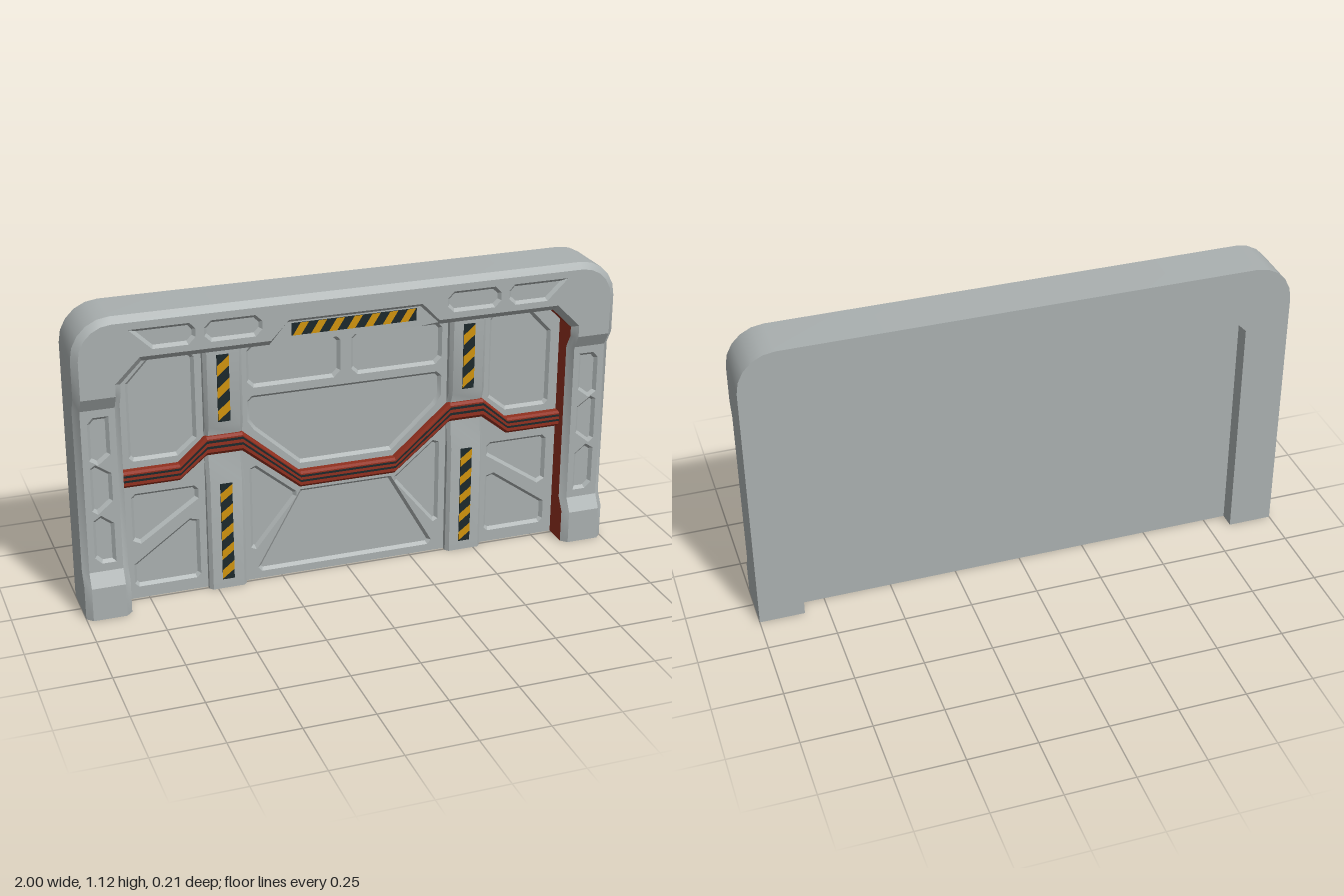
import * as THREE from 'three';
import { toCreasedNormals } from 'three/addons/utils/BufferGeometryUtils.js';

const mat = (name, color) => Object.assign(new THREE.MeshStandardMaterial({ color, side: THREE.DoubleSide }), { name });

// Geometry from a flat list of triangle corners
function fromTris(tris) {
  const g = new THREE.BufferGeometry();
  g.setAttribute('position', new THREE.Float32BufferAttribute(tris, 3));
  return toCreasedNormals(g, 0.45);
}
const quad = (out, a, b, c, d) => out.push(...a, ...b, ...c, ...a, ...c, ...d);

// Skin between equal cross-sections; pick(section, strip) chooses the output list
function loft(sections, pick) {
  for (let i = 0; i < sections.length - 1; i++) {
    const s = sections[i], t = sections[i + 1];
    for (let j = 0; j < s.length - 1; j++) {
      const out = pick(i, j);
      if (out) quad(out, s[j], t[j], t[j + 1], s[j + 1]);
    }
  }
}

const mirror = (pts) => pts.map(([x, y]) => [-x, y]).reverse();
const both = (list) => [...list, ...list.map(mirror)];
const vecs = (pts) => pts.map(([x, y]) => new THREE.Vector2(x, y));

// Rectangle with cut corners
function cutRect(x0, y0, x1, y1, c) {
  return [[x0 + c, y0], [x1 - c, y0], [x1, y0 + c], [x1, y1 - c],
    [x1 - c, y1], [x0 + c, y1], [x0, y1 - c], [x0, y0 + c]];
}

// Move every edge of a counter-clockwise outline inwards
function inset(v, d) {
  return v.map((p, i) => {
    const a = v[(i + v.length - 1) % v.length], b = v[(i + 1) % v.length];
    const e = p.clone().sub(a).normalize(), f = b.clone().sub(p).normalize();
    const n = new THREE.Vector2(-e.y - f.y, e.x + f.x);
    return p.clone().addScaledVector(n, d / (1 + e.dot(f)));
  });
}

function flat(out, shape, z) {
  const p = new THREE.ShapeGeometry(shape).toNonIndexed().getAttribute('position');
  for (let i = 0; i < p.count; i++) out.push(p.getX(i), p.getY(i), z);
}

// Flat face with sunken, slope-walled panels
function panelFace(out, outline, holes, z, depth = 0.012, slope = 0.011) {
  const shape = new THREE.Shape(vecs(outline));
  for (const hole of holes) {
    const o = vecs(hole);
    if (THREE.ShapeUtils.isClockWise(o)) o.reverse();
    shape.holes.push(new THREE.Path(o));
    const n = inset(o, slope);
    o.forEach((p, i) => {
      const k = (i + 1) % o.length;
      quad(out, [p.x, p.y, z], [o[k].x, o[k].y, z], [n[k].x, n[k].y, z - depth], [n[i].x, n[i].y, z - depth]);
    });
    flat(out, new THREE.Shape(n), z - depth);
  }
  flat(out, shape, z);
}

export function createModel() {
  const grey = mat('light grey metal', 0xaab0b0);
  const red = mat('dark red paint', 0x92301f);
  const black = mat('near black', 0x1c282b);
  const yellow = mat('warning yellow', 0xd0930c);
  const root = new THREE.Group();
  const add = (name, geo, m, parent = root) => {
    const mesh = new THREE.Mesh(geo, m);
    mesh.name = name;
    parent.add(mesh);
    return mesh;
  };

  // Arch frame: one cross-section swept from the right-hand foot over the top
  const BACK = -0.105, HI = 0.104, LO = 0.075, BEV = 0.022;
  const section = (o, oi, ii, i, zf, mid) => [
    [...o, BACK], [...o, zf - BEV], [...oi, zf], [...ii, zf],
    mid || [(ii[0] + i[0]) / 2, (ii[1] + i[1]) / 2, zf - BEV / 2],
    [...i, zf - BEV], [...i, -0.045], [...i, BACK]];
  const half = [[0, HI], [0.125, HI], [0.175, LO], [0.785, LO], [0.835, HI]].map(([y, z]) =>
    section([1, y], [1 - BEV, y], [0.857, y], [0.835, y], z));
  for (let a = 0; a <= 90; a += 18) {
    const c = Math.cos(a * Math.PI / 180), s = Math.sin(a * Math.PI / 180);
    const at = (r) => [0.86 + r * c, 0.975 + r * s];
    half.push(section(at(0.14), at(0.14 - BEV),
      a < 45 ? [0.857, 0.879] : [0.769, 0.967], a < 45 ? [0.835, 0.87] : [0.76, 0.945], HI));
  }
  // Notch in the lintel for the warning sign
  half.push(section([0.31, 1.115], [0.31, 1.093], [0.31, 0.967], [0.31, 0.945], HI));
  half.push(section([0.245, 1.115], [0.245, 1.093], [0.245, 1.035], [0.245, 0.945], HI, [0.245, 1.02, HI - BEV]));
  const arch = [...half, ...half.map((s) => s.map(([x, y, z]) => [-x, y, z])).reverse()];

  const frame = [], liner = [], last = arch.length - 1;
  loft(arch.map((s) => [...s, s[0]]), (i, j) => {
    const k = Math.min(i, last - 1 - i);
    if (j === 2 && (k === 2 || k >= 4)) return null;
    return j === 5 ? liner : frame;
  });
  // Top face and post faces with their sunken panels
  const top = arch.slice(4, last - 3);
  const xy = (p) => [p[0], p[1]];
  const topEdge = [...top.map((s) => xy(s[2])), ...top.map((s) => xy(s[3])).reverse()]
    .filter((p, i, l) => !i || Math.hypot(p[0] - l[i - 1][0], p[1] - l[i - 1][1]) > 1e-6);
  panelFace(frame, topEdge, both([
    [[0.805, 1.067], [0.595, 1.067], [0.575, 1.045], [0.575, 1.015], [0.6, 0.99], [0.725, 0.99]],
    cutRect(0.34, 0.99, 0.545, 1.067, 0.024)]), HI);
  const post = [[0.857, 0.175], [0.978, 0.175], [0.978, 0.785], [0.857, 0.785]];
  const slots = [
    [[0.935, 0.757], [0.88, 0.757], [0.88, 0.615], [0.925, 0.58], [0.955, 0.6], [0.955, 0.735]],
    [[0.955, 0.57], [0.935, 0.583], [0.88, 0.545], [0.88, 0.44], [0.935, 0.395], [0.955, 0.41]],
    [[0.955, 0.37], [0.925, 0.39], [0.88, 0.355], [0.88, 0.205], [0.93, 0.205], [0.955, 0.23]]];
  panelFace(frame, post, slots, LO);
  panelFace(frame, mirror(post), slots.map(mirror), LO);
  // Red soles
  for (let j = 1; j < 7; j++) {
    liner.push(...arch[0][0], ...arch[0][j], ...arch[0][j + 1]);
    liner.push(...arch[last][0], ...arch[last][j + 1], ...arch[last][j]);
  }
  add('archFrame', fromTris(frame), grey);
  add('doorwayLining', fromTris(liner), red);

  // Door leaf with sunken panels
  const door = [[-0.835, 0], [0.835, 0], [0.835, 0.87], [0.76, 0.945], [-0.76, 0.945], [-0.835, 0.87]];
  const core = new THREE.ExtrudeGeometry(new THREE.Shape(vecs(door)), { depth: 0.021, bevelEnabled: false });
  add('doorBack', core.translate(0, 0, -0.045), grey);
  add('doorSill', new THREE.BoxGeometry(1.67, 0.01, 0.034), grey).position.set(0, 0.005, -0.0275);
  const face = [];
  panelFace(face, door, [
    ...both([
      [[0.715, 0.92], [0.575, 0.92], [0.555, 0.9], [0.555, 0.595], [0.625, 0.537], [0.785, 0.537], [0.8, 0.552], [0.8, 0.83]],
      cutRect(0.02, 0.755, 0.368, 0.92, 0.025),
      [[0.785, 0.412], [0.57, 0.412], [0.555, 0.397], [0.555, 0.36], [0.77, 0.215], [0.8, 0.23], [0.8, 0.397]],
      [[0.59, 0.285], [0.555, 0.275], [0.555, 0.06], [0.54 + 0.03, 0.045], [0.785, 0.045], [0.8, 0.06], [0.8, 0.135]],
      [[0.365, 0.445], [0.34, 0.455], [0.19, 0.33], [0.19, 0.31], [0.345, 0.12], [0.365, 0.13]]]),
    [[-0.35, 0.725], [0.35, 0.725], [0.368, 0.707], [0.368, 0.63], [0.345, 0.595], [0.175, 0.44],
      [-0.175, 0.44], [-0.345, 0.595], [-0.368, 0.63], [-0.368, 0.707]],
    [[-0.175, 0.335], [0.175, 0.335], [0.34, 0.045], [0.325, 0.028], [-0.325, 0.028], [-0.34, 0.045]],
  ], -0.01);
  add('doorFront', fromTris(face), grey);

  // Upright ribs, stepping back where the band crosses
  const rib = [];
  const ribRows = [[0, 0.02], [0.42, 0.02], [0.52, 0.004], [0.6, 0.004], [0.64, 0.02], [0.942, 0.02]];
  const ribSections = ribRows.map(([y, z]) =>
    [[0.07, y, -0.02], [0.07, y, z - 0.012], [0.058, y, z], [-0.058, y, z], [-0.07, y, z - 0.012], [-0.07, y, -0.02]]);
  loft(ribSections, () => rib);
  const foot = ribSections[0];
  for (let j = 1; j < 5; j++) rib.push(...foot[0], ...foot[j], ...foot[j + 1]);
  for (const s of [-1, 1]) add('doorRib', fromTris(rib), grey).position.x = s * 0.46;

  // Zigzag band, given as x, lower y, upper y
  const bandHalf = [[0.835, 0.45, 0.512], [0.625, 0.45, 0.512], [0.525, 0.53, 0.602], [0.395, 0.53, 0.602], [0.182, 0.355, 0.417]];
  const bandPath = [...bandHalf, ...bandHalf.map(([x, a, b]) => [-x, a, b]).reverse()];
  const strip = (pts) => {
    const out = [];
    loft(bandPath.map(([x, a, b]) => pts.map(([t, z]) => [x, a + (b - a) * t, z])), () => out);
    return fromTris(out);
  };
  add('redBand', strip([[1, -0.015], [1, 0.012], [0.9, 0.022], [0.2, 0.022], [0, 0.008], [0, -0.015]]), red);
  for (const t of [0.4, 0.7]) add('bandLine', strip([[t + 0.13, 0.0235], [t, 0.0235]]), black);

  // Warning strips: dark plate with slanted yellow bars
  function warningStrip(x, y, w, h, z, count) {
    const g = new THREE.Group();
    g.name = 'warningStrip';
    g.position.set(x, y, z);
    root.add(g);
    add('stripPlate', new THREE.BoxGeometry(w, h, 0.004), black, g);
    const bars = [], wide = w > h, pitch = (wide ? w : h) / count;
    for (let i = 0; i < count; i++) {
      const c = (i - (count - 1) / 2) * pitch, t = pitch * 0.23, k = pitch * 0.22;
      const p = wide
        ? [[c - t - k, -h / 2], [c + t - k, -h / 2], [c + t + k, h / 2], [c - t + k, h / 2]]
        : [[-w / 2, c - t - k], [w / 2, c - t + k], [w / 2, c + t + k], [-w / 2, c + t - k]];
      quad(bars, ...p.map((q) => [...q, 0.0032]));
    }
    add('stripBars', fromTris(bars), yellow, g);
  }
  for (const s of [-1, 1]) {
    warningStrip(s * 0.461, 0.227, 0.044, 0.38, 0.021, 5);
    warningStrip(s * 0.461, 0.782, 0.044, 0.25, 0.021, 3);
  }
  warningStrip(0, 0.992, 0.46, 0.045, HI - BEV + 0.001, 7);

  return root;
}
